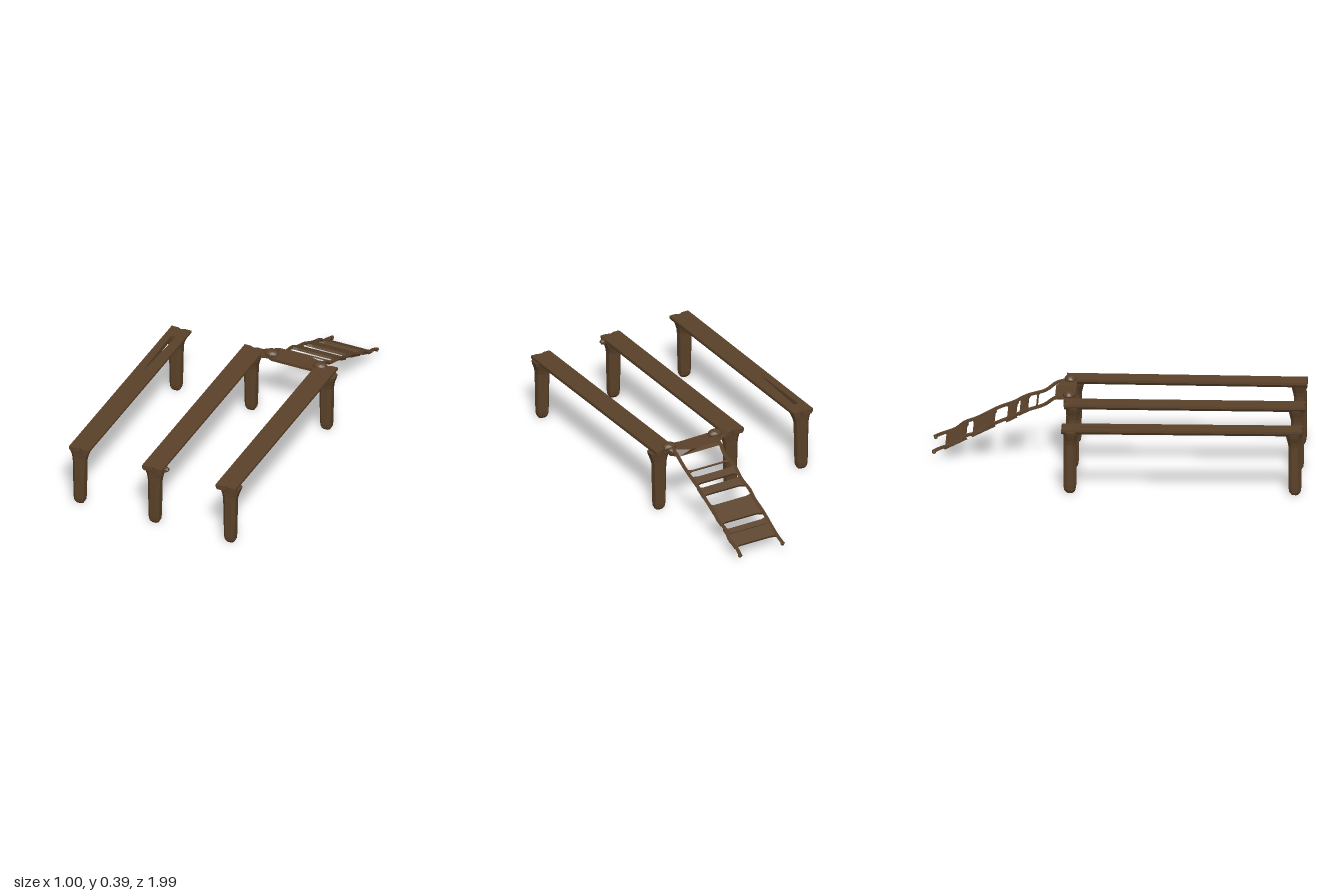
import * as THREE from 'three';

const wood = new THREE.MeshStandardMaterial({ color: 0x5a4129, flatShading: true, side: THREE.DoubleSide });

function add(parent, name, geometry, x = 0, y = 0, z = 0) {
  const mesh = new THREE.Mesh(geometry, wood);
  mesh.name = name;
  mesh.position.set(x, y, z);
  parent.add(mesh);
  return mesh;
}

// Chamfered post: each level is [y, half width, half depth, z shift towards the span]
const LEVELS = [
  [0, 0.022, 0.018, 0], [0.015, 0.029, 0.03, 0], [0.04, 0.031, 0.034, 0], [0.27, 0.036, 0.034, 0],
  [0.295, 0.041, 0.036, 0.003], [0.325, 0.052, 0.04, 0.006], [0.345, 0.057, 0.043, 0.006],
];
function postGeometry(inward) {
  const n = LEVELS.length - 1;
  const geo = new THREE.CylinderGeometry(1, 1, n, 8, n);
  geo.rotateY(Math.PI / 8);
  const p = geo.attributes.position;
  const square = (v) => THREE.MathUtils.clamp(v * 1.35, -1, 1);
  for (let i = 0; i < p.count; i++) {
    const [y, w, d, shift] = LEVELS[Math.round(p.getY(i) + n / 2)];
    p.setXYZ(i, square(p.getX(i)) * w, y, square(p.getZ(i)) * d + shift * inward);
  }
  geo.computeVertexNormals();
  return geo;
}

// Long beam drawn in plan, with notched ends, a narrower underside and a slight rise
function beamGeometry(slot, rise) {
  const w = 0.058, z0 = -0.29, z1 = 0.995;
  const shape = new THREE.Shape([
    [-w, z0], [-0.02, z0], [0, z0 + 0.01], [0.02, z0], [w, z0],
    [w, z1], [0.02, z1], [0, z1 - 0.01], [-0.02, z1], [-w, z1],
  ].map(([x, z]) => new THREE.Vector2(x, z)));
  if (slot) {
    shape.holes.push(new THREE.Path([[-0.019, -0.2], [-0.014, 0.15], [-0.009, 0.15], [0.008, -0.2]]
      .map(([x, z]) => new THREE.Vector2(x, z))));
  }
  const geo = new THREE.ExtrudeGeometry(shape, { depth: 0.027, steps: 2, bevelEnabled: false });
  geo.rotateX(Math.PI / 2);
  const p = geo.attributes.position;
  for (let i = 0; i < p.count; i++) {
    if (p.getY(i) < -0.02 && Math.abs(p.getX(i)) > 0.03) p.setX(i, p.getX(i) * 0.84);
    p.setY(i, p.getY(i) + rise * (z1 - p.getZ(i)) / (z1 - z0));
  }
  geo.computeVertexNormals();
  return geo;
}

export function createModel() {
  const model = new THREE.Group();
  model.name = 'raisedBeams';

  // Three beams, each on a front and a back post
  const supports = [
    { name: 'rightBeam', beam: -0.436, post: -0.446, slot: true, rise: 0 },
    { name: 'middleBeam', beam: -0.006, post: -0.004, slot: false, rise: 0.003 },
    { name: 'leftBeam', beam: 0.427, post: 0.44, slot: false, rise: 0.009 },
  ];
  for (const s of supports) {
    const group = new THREE.Group();
    group.name = s.name;
    add(group, 'beam', beamGeometry(s.slot, s.rise), s.beam, 0.361, 0);
    add(group, 'frontPost', postGeometry(-1), s.post, 0, 0.955);
    add(group, 'backPost', postGeometry(1), s.post, 0, -0.245);
    model.add(group);
  }
  const knob = add(model, 'knob', new THREE.IcosahedronGeometry(0.02, 0), 0.06, 0.345, 0.955);
  knob.scale.set(1, 0.8, 1);

  // Ramp hanging off the back of two beams
  const ramp = new THREE.Group();
  ramp.name = 'ramp';
  model.add(ramp);

  // Curved landing board between the two beams
  const landing = new THREE.Shape();
  landing.moveTo(0.04, 0.32);
  landing.quadraticCurveTo(0.055, 0.35, 0.1, 0.353);
  landing.lineTo(0.12, 0.334);
  landing.lineTo(0.37, 0.334);
  landing.lineTo(0.4, 0.325);
  landing.lineTo(0.41, 0.366);
  landing.lineTo(0.3, 0.357);
  landing.lineTo(0.12, 0.36);
  landing.lineTo(0.04, 0.36);
  const board = new THREE.ExtrudeGeometry(landing, { depth: 0.11, steps: 1, bevelEnabled: false });
  board.translate(0, 0, -0.342);
  const p = board.attributes.position;
  for (let i = 0; i < p.count; i++) {
    const outside = p.getX(i) < 0.11 || p.getX(i) > 0.39;
    if (p.getZ(i) < -0.3) {
      if (outside) p.setZ(i, -0.295);
    } else if (p.getY(i) < 0.345) {
      p.setY(i, p.getY(i) + 0.009); // thinner towards the front edge
    }
  }
  board.computeVertexNormals();
  add(ramp, 'landing', board);

  // Lashing lumps where the rails meet the beams
  for (const x of [0.105, 0.39]) {
    const lump = add(ramp, 'lashing', new THREE.IcosahedronGeometry(0.036, 1), x, 0.367, -0.268);
    lump.scale.set(1.15, 0.68, 0.95);
  }

  // Wavy side rails stepping down to the ground
  const steps = [
    [-0.27, 0.367], [-0.34, 0.347], [-0.4, 0.305], [-0.5, 0.272], [-0.57, 0.237], [-0.65, 0.205],
    [-0.71, 0.175], [-0.77, 0.143], [-0.83, 0.122], [-0.88, 0.083], [-0.95, 0.058], [-0.995, 0.037],
  ];
  for (const side of [-1, 1]) {
    const path = new THREE.CatmullRomCurve3(steps.map(([z, y], i) =>
      new THREE.Vector3(0.252 + side * (0.128 + (i % 2) * 0.005), y, z)));
    add(ramp, side < 0 ? 'rightRail' : 'leftRail', new THREE.TubeGeometry(path, 44, 0.01, 5));
    add(ramp, 'railFoot', new THREE.IcosahedronGeometry(0.012, 0), 0.252 + side * 0.132, 0.036, -0.987);
  }

  // Treads: [z, y, board depth, thickness], with flared ends
  const treads = [
    [-0.44, 0.287, 0.008, 0.006], [-0.51, 0.262, 0.043, 0.014], [-0.575, 0.225, 0.048, 0.014],
    [-0.725, 0.157, 0.122, 0.014], [-0.873, 0.085, 0.117, 0.014],
  ];
  for (const [z, y, depth, thick] of treads) {
    const geo = new THREE.BoxGeometry(0.264, thick, depth, 8, 1, 1);
    const q = geo.attributes.position;
    for (let i = 0; i < q.count; i++) {
      if (Math.abs(q.getX(i)) > 0.12) q.setZ(i, q.getZ(i) + Math.sign(q.getZ(i)) * 0.009);
    }
    geo.computeVertexNormals();
    add(ramp, 'tread', geo, 0.252, y, z).rotation.x = -0.46;
  }
  // Raised lips across the back tread
  add(ramp, 'treadLip', new THREE.BoxGeometry(0.225, 0.01, 0.025), 0.252, 0.107, -0.845).rotation.x = -0.46;

  return model;
}
